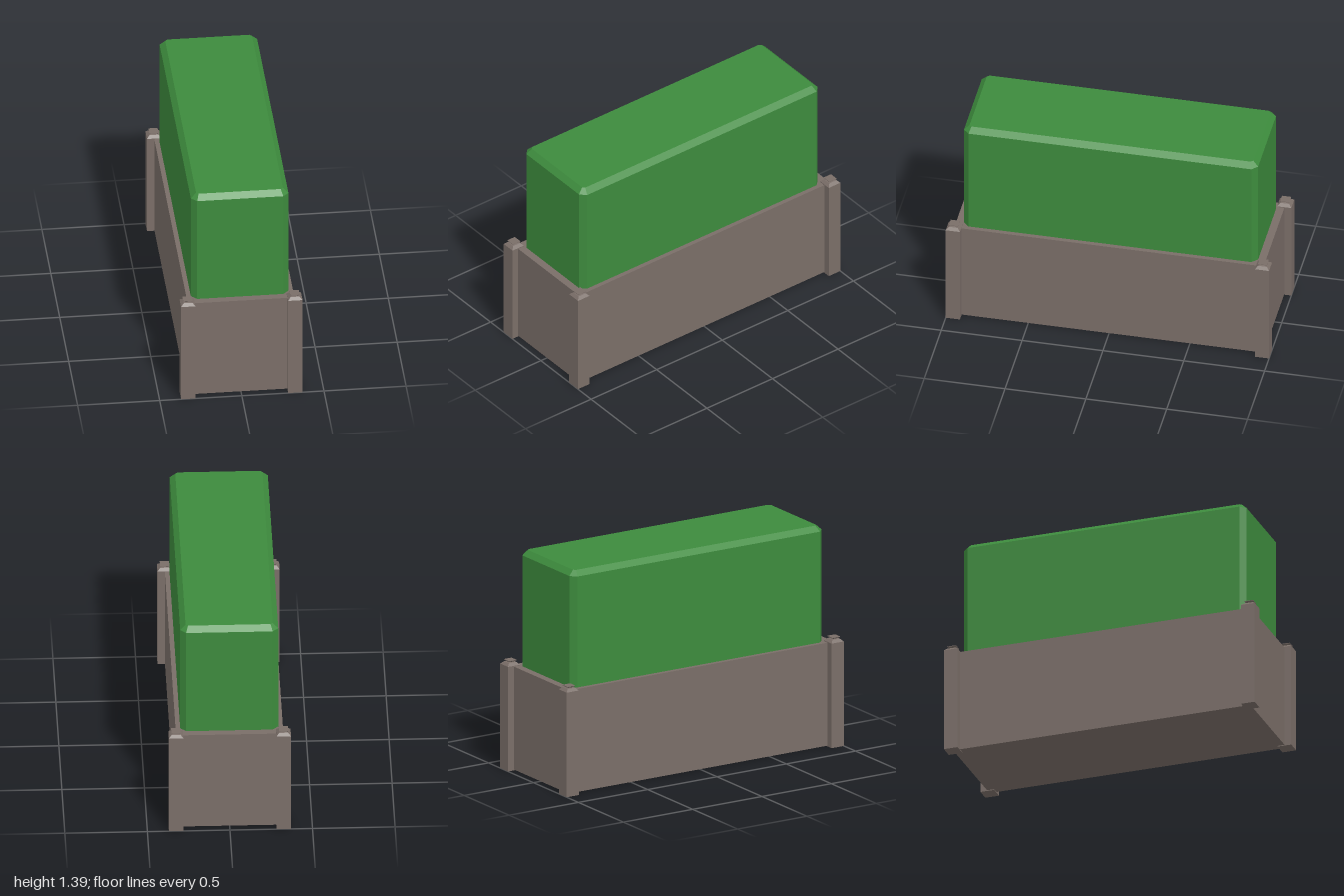
import * as THREE from 'three';

const stone = new THREE.MeshStandardMaterial({ color: 0x7a6e68, flatShading: true });
const leaf = new THREE.MeshStandardMaterial({ color: 0x3d8b3d, flatShading: true });

// Rectangle with cut corners, counter-clockwise seen from above
function ring({ x, z, cut, y }) {
  return [
    [x, z - cut], [x, -z + cut], [x - cut, -z], [-x + cut, -z],
    [-x, -z + cut], [-x, z - cut], [-x + cut, z], [x - cut, z],
  ].map(([px, pz]) => [px, y, pz]);
}

// Skin the rings from bottom to top and close both ends
function loft(sections) {
  const rings = sections.map(ring);
  const n = rings[0].length;
  const index = [];
  for (let r = 0; r < rings.length - 1; r++) {
    for (let i = 0; i < n; i++) {
      const a = r * n + i, b = r * n + (i + 1) % n;
      index.push(a, b, b + n, a, b + n, a + n);
    }
  }
  const top = (rings.length - 1) * n;
  for (let i = 1; i < n - 1; i++) {
    index.push(0, i + 1, i);
    index.push(top, top + i, top + i + 1);
  }
  const geometry = new THREE.BufferGeometry();
  geometry.setAttribute('position', new THREE.Float32BufferAttribute(rings.flat(2), 3));
  geometry.setIndex(index);
  const flat = geometry.toNonIndexed();
  flat.computeVertexNormals();
  return flat;
}

// Square post from [half width, height] pairs
function squarePost(profile) {
  const points = profile.map(([half, y]) => new THREE.Vector2(half * Math.SQRT2, y));
  const geometry = new THREE.LatheGeometry(points, 4).rotateY(Math.PI / 4).toNonIndexed();
  geometry.computeVertexNormals();
  return geometry;
}

export function createModel() {
  const model = new THREE.Group();
  model.name = 'hedgePlanter';

  // Stone trough
  const trough = new THREE.Mesh(new THREE.BoxGeometry(0.65, 0.65, 1.914), stone);
  trough.name = 'trough';
  trough.position.y = 0.33;
  model.add(trough);

  // Clipped hedge with chamfered corners and top edge
  const hedge = new THREE.Mesh(loft([
    { x: 0.297, z: 0.91, cut: 0.035, y: 0.65 },
    { x: 0.297, z: 0.91, cut: 0.035, y: 1.355 },
    { x: 0.264, z: 0.877, cut: 0.014, y: 1.387 },
  ]), leaf);
  hedge.name = 'hedge';
  model.add(hedge);

  // Corner posts with a bevelled shoulder and small flared cap
  const post = squarePost([
    [0, 0], [0.044, 0], [0.044, 0.66], [0.027, 0.676],
    [0.017, 0.679], [0.028, 0.687], [0.028, 0.69], [0, 0.69],
  ]);
  for (const sx of [-1, 1]) {
    for (const sz of [-1, 1]) {
      const mesh = new THREE.Mesh(post, stone);
      mesh.name = (sz > 0 ? 'front' : 'back') + (sx > 0 ? 'Left' : 'Right') + 'Post';
      mesh.position.set(sx * 0.326, 0, sz * 0.956);
      model.add(mesh);
    }
  }
  return model;
}
